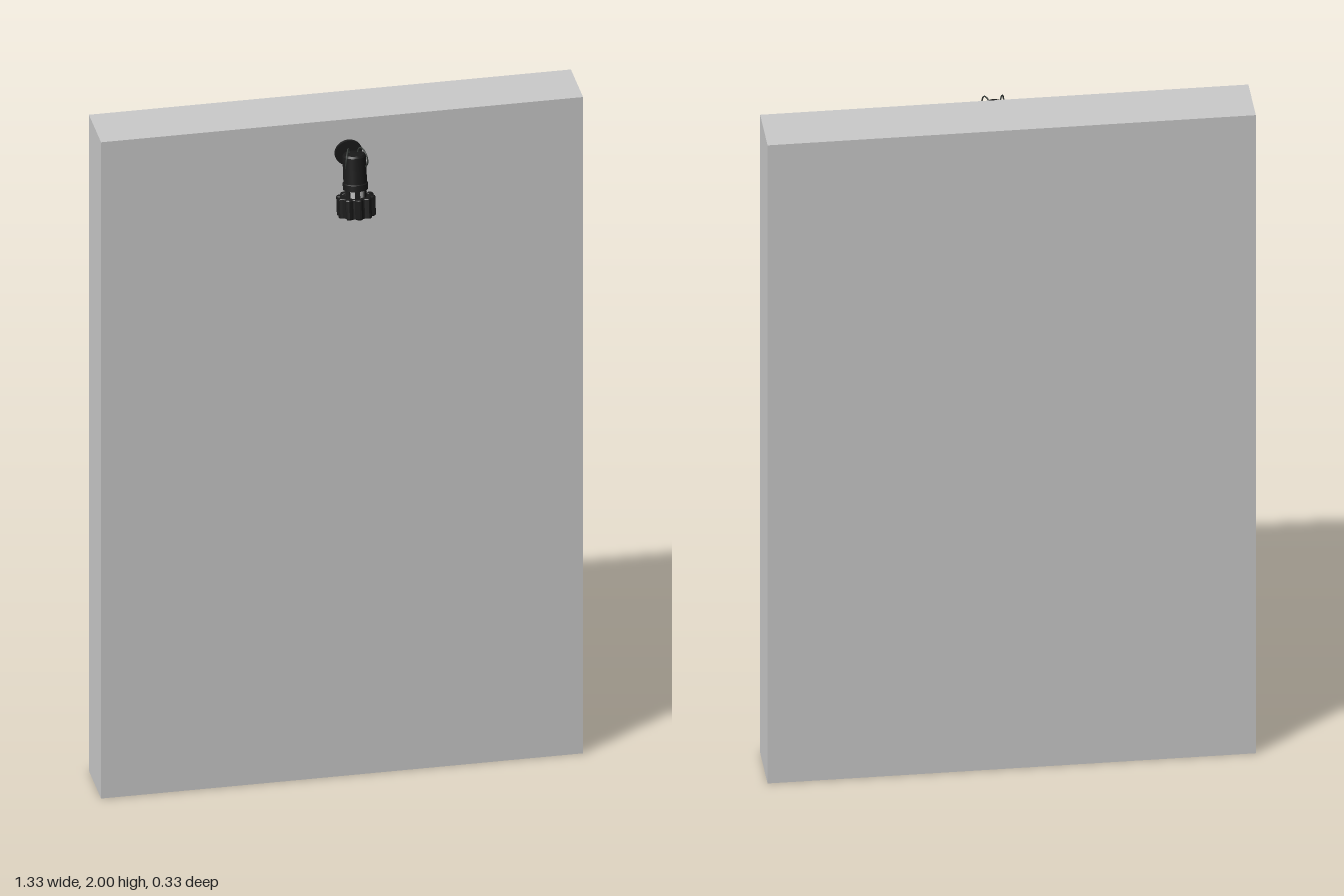
import * as THREE from 'three';

const V = (x, y, z) => new THREE.Vector3(x, y, z);

export function createModel() {
  const model = new THREE.Group();
  const grey = new THREE.MeshStandardMaterial({ color: 0xcccccc });
  const black = new THREE.MeshStandardMaterial({ color: 0x1a1a1a });
  const silver = new THREE.MeshStandardMaterial({ color: 0xb8b8b8 });
  const wireMat = new THREE.MeshStandardMaterial({ color: 0x3a3f3c });

  const add = (parent, name, geometry, material, x = 0, y = 0, z = 0) => {
    const mesh = new THREE.Mesh(geometry, material);
    mesh.name = name;
    mesh.position.set(x, y, z);
    parent.add(mesh);
    return mesh;
  };

  // Wall slab
  add(model, 'wall', new THREE.BoxGeometry(1.33, 2, 0.165), grey, 0, 1, -0.0825);

  // Wall plate and arm
  const mount = new THREE.Group();
  mount.name = 'wallMount';
  mount.position.set(0.017, 1.9, 0);
  mount.rotation.x = Math.PI / 2;
  model.add(mount);
  add(mount, 'wallPlate', new THREE.CylinderGeometry(0.037, 0.038, 0.007, 32), black, 0, 0.0035, 0);
  add(mount, 'arm', new THREE.CylinderGeometry(0.006, 0.006, 0.055, 16), black, 0, 0.033, 0);
  add(mount, 'armJoint', new THREE.CylinderGeometry(0.01, 0.01, 0.022, 16), black, 0, 0.034, 0);

  // Tilted spotlight, local y runs along the lamp axis from the lens upwards
  const lamp = new THREE.Group();
  lamp.name = 'spotlight';
  lamp.position.set(0.017, 1.764, 0.111);
  lamp.rotation.x = -0.183;
  model.add(lamp);

  // Scalloped head ring with an open middle
  const outline = [];
  for (let i = 0; i < 80; i++) {
    const a = (i / 80) * Math.PI * 2;
    const r = 0.0465 + 0.005 * Math.tanh(2 * Math.cos(10 * a));
    outline.push(new THREE.Vector2(r * Math.sin(a), r * Math.cos(a)));
  }
  const ringShape = new THREE.Shape(outline);
  ringShape.holes.push(new THREE.Path().absarc(0, 0, 0.038, 0, Math.PI * 2, true));
  const ring = new THREE.ExtrudeGeometry(ringShape, {
    depth: 0.05, bevelThickness: 0.003, bevelSize: 0.002, bevelSegments: 1, curveSegments: 32,
  });
  ring.rotateX(-Math.PI / 2);
  add(lamp, 'headRing', ring, black, 0, 0.003, 0);
  add(lamp, 'headCap', new THREE.CylinderGeometry(0.039, 0.039, 0.01, 32), black, 0, 0.049, 0);
  add(lamp, 'lens', new THREE.CylinderGeometry(0.038, 0.038, 0.004, 32), silver, 0, 0.012, 0);

  // Neck between the head and the housing
  add(lamp, 'neck', new THREE.CylinderGeometry(0.026, 0.026, 0.026, 24), silver, 0, 0.066, 0);
  for (let i = 0; i < 6; i++) {
    const a = (i / 6) * Math.PI * 2;
    const post = add(lamp, 'neckPost', new THREE.BoxGeometry(0.014, 0.026, 0.006), black,
      0.026 * Math.sin(a), 0.066, 0.026 * Math.cos(a));
    post.rotation.y = a;
  }

  // Housing body with a stepped lower rim and gently domed top
  const profile = [[0, 0.075], [0.034, 0.075], [0.034, 0.092], [0.032, 0.094], [0.032, 0.168], [0.029, 0.174], [0, 0.177]];
  for (let i = 0; i < profile.length - 1; i++) {
    const pts = [profile[i], profile[i + 1]].map(([r, y]) => new THREE.Vector2(r, y));
    add(lamp, 'housing', new THREE.LatheGeometry(pts, 32), black);
  }

  // Two cables looping from the back of the cap down to the housing sides
  for (const s of [-1, 1]) {
    const path = new THREE.CatmullRomCurve3([
      V(s * 0.01, 0.17, -0.01), V(s * 0.014, 0.187, -0.002), V(s * 0.02, 0.192, 0.016),
      V(s * 0.027, 0.178, 0.035), V(s * 0.03, 0.156, 0.034), V(s * 0.027, 0.138, 0.015),
    ]);
    add(lamp, 'cable', new THREE.TubeGeometry(path, 32, 0.002, 8), wireMat);
  }
  return model;
}
